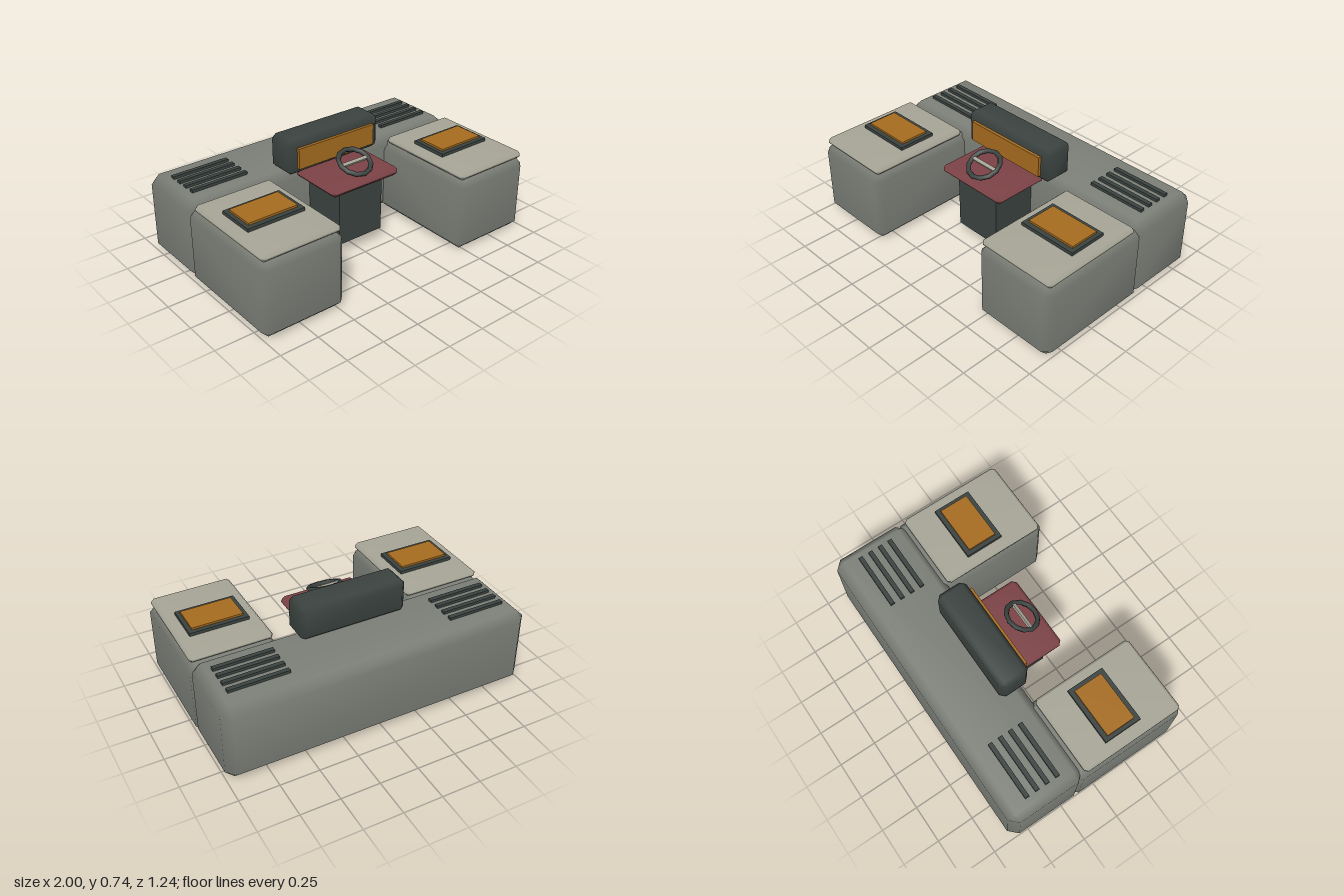
import * as THREE from 'three';
import { mergeVertices } from 'three/addons/utils/BufferGeometryUtils.js';
import { ConvexGeometry } from 'three/addons/geometries/ConvexGeometry.js';

const mat = (color) => new THREE.MeshStandardMaterial({ color });

// Box given by its min and max corners, with every edge cut at 45 degrees and softly shaded
function chamferBox(min, max, c) {
  const pts = [];
  for (const sx of [0, 1]) for (const sy of [0, 1]) for (const sz of [0, 1]) {
    const s = [sx, sy, sz];
    // three points per corner, each lying on one of the three faces
    for (let face = 0; face < 3; face++) {
      const p = s.map((side, i) => {
        const inset = i === face ? 0 : c;
        return side ? max[i] - inset : min[i] + inset;
      });
      pts.push(new THREE.Vector3(...p));
    }
  }
  let geo = new ConvexGeometry(pts);
  geo.deleteAttribute('normal');
  geo = mergeVertices(geo, 1e-4);
  geo.computeVertexNormals();
  return geo;
}

// Plain sharp box given by its min and max corners
function box(min, max) {
  const geo = new THREE.BoxGeometry(max[0] - min[0], max[1] - min[1], max[2] - min[2]);
  geo.translate((min[0] + max[0]) / 2, (min[1] + max[1]) / 2, (min[2] + max[2]) / 2);
  return geo;
}

export function createModel() {
  const model = new THREE.Group();
  model.name = 'controlDesk';

  const body = mat(0x7c8078);
  const light = mat(0xa6a596);
  const dark = mat(0x3b4340);
  const amber = mat(0xa66c20);
  const red = mat(0x7c4246);

  const add = (name, geo, material, parent = model) => {
    const mesh = new THREE.Mesh(geo, material);
    mesh.name = name;
    parent.add(mesh);
    return mesh;
  };

  // Long rear body
  add('rearBody', chamferBox([-1, 0, -0.62], [1, 0.522, -0.1], 0.055), body);

  // Side wings with cap, inset screen and rear vents
  for (const side of [-1, 1]) {
    const wing = new THREE.Group();
    wing.name = side > 0 ? 'leftWing' : 'rightWing';
    model.add(wing);
    // mirror the x range for the opposite side
    const span = (a, b) => (side > 0 ? [a, b] : [-b, -a]);
    const part = (name, make, [x0, x1], [y0, y1], [z0, z1], material, c) =>
      add(name, make([x0, y0, z0], [x1, y1, z1], c), material, wing);

    part('pedestal', chamferBox, span(0.447, 1), [0, 0.485], [-0.16, 0.62], body, 0.043);
    part('pedestalCap', chamferBox, span(0.46, 0.985), [0.48, 0.532], [-0.095, 0.597], light, 0.02);
    part('screenFrame', box, span(0.53, 0.91), [0.52, 0.553], [0.097, 0.35], dark);
    part('wingScreen', box, span(0.558, 0.885), [0.54, 0.566], [0.126, 0.32], amber);
    for (let i = 0; i < 4; i++) {
      const z = -0.245 - i * 0.071;
      part('ventBar', box, span(0.53, 0.91), [0.5, 0.54], [z - 0.014, z + 0.014], dark);
    }
  }

  // Central post and control tray
  add('post', box([-0.165, 0.09, -0.15], [0.165, 0.48, 0.2]), dark);
  add('controlTray', chamferBox([-0.257, 0.46, -0.12], [0.257, 0.52, 0.262], 0.025), red);

  // Display console
  add('console', chamferBox([-0.35, 0.512, -0.25], [0.35, 0.738, -0.05], 0.03), dark);
  add('consoleScreen', box([-0.288, 0.555, -0.06], [0.288, 0.69, -0.03]), amber);

  // Steering ring, tilted towards the operator, with one crossbar
  const wheel = new THREE.Group();
  wheel.name = 'steeringWheel';
  wheel.position.set(0, 0.586, 0.138);
  wheel.rotation.x = THREE.MathUtils.degToRad(-65);
  model.add(wheel);
  add('wheelRim', new THREE.TorusGeometry(0.103, 0.016, 6, 12), dark, wheel);
  add('wheelCrossbar', new THREE.BoxGeometry(0.19, 0.022, 0.018), light, wheel);

  return model;
}
